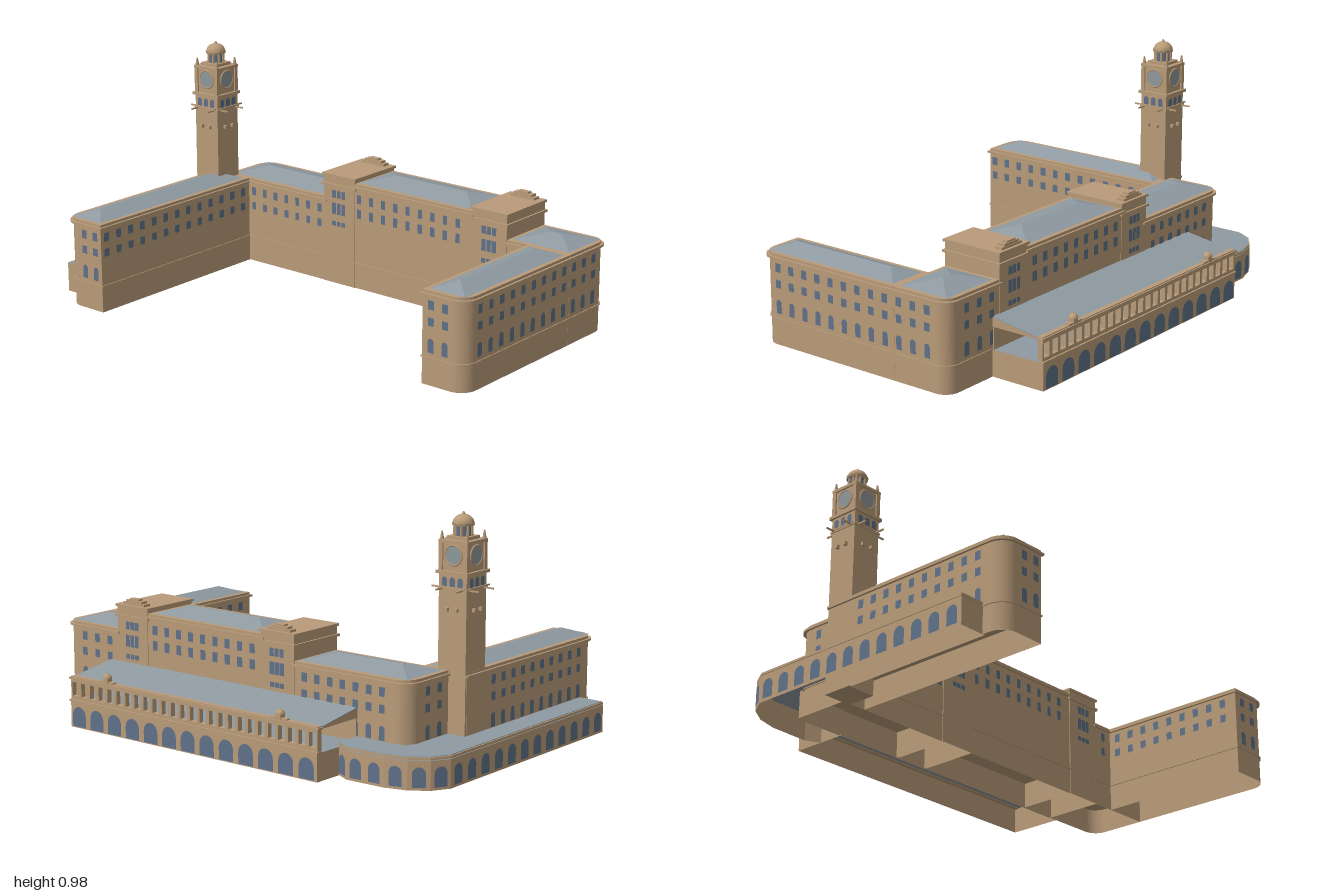
import * as THREE from 'three';
import { mergeGeometries } from 'three/addons/utils/BufferGeometryUtils.js';

const mat = (name, color) => new THREE.MeshStandardMaterial({ name, color, side: THREE.DoubleSide });

export function createModel() {
  const model = new THREE.Group();
  model.name = 'station';
  const wall = mat('sandstone', 0xb99b79);
  const roof = mat('slate', 0x8f9aa2);
  const glass = mat('glass', 0x5f7189);
  const clockFace = mat('clock face', 0x8d989b);

  const add = (name, geo, material, parent = model) => {
    const m = new THREE.Mesh(geo, material);
    m.name = name;
    parent.add(m);
    return m;
  };
  const box = (name, x0, x1, y0, y1, z0, z1, material = wall, parent = model) =>
    add(name, new THREE.BoxGeometry(x1 - x0, y1 - y0, z1 - z0)
      .translate((x0 + x1) / 2, (y0 + y1) / 2, (z0 + z1) / 2), material, parent);

  // Rectangular plan with corner radii [left-back, right-back, right-front, left-front]
  const plan = ([x0, x1, z0, z1], r = [0, 0, 0, 0], g = 0) => {
    const a = x0 - g, b = x1 + g, c = -z0 + g, d = -z1 - g; // shape y is -z
    const [lb, rb, rf, lf] = r.map(v => Math.max(v, 0.001));
    const s = new THREE.Shape();
    s.moveTo(a + lf, d).lineTo(b - rf, d);
    s.absarc(b - rf, d + rf, rf, -Math.PI / 2, 0);
    s.absarc(b - rb, c - rb, rb, 0, Math.PI / 2);
    s.absarc(a + lb, c - lb, lb, Math.PI / 2, Math.PI);
    s.absarc(a + lf, d + lf, lf, Math.PI, Math.PI * 1.5);
    return s;
  };
  const prism = (name, shape, y0, y1, material = wall) =>
    add(name, new THREE.ExtrudeGeometry(shape, { depth: y1 - y0, bevelEnabled: false, curveSegments: 6 })
      .rotateX(-Math.PI / 2).translate(0, y0, 0), material);
  // Walls with a ceiling and an open underside
  const shell = (name, shape, y1, ceiling = wall) => {
    const src = new THREE.ExtrudeGeometry(shape, { depth: y1, bevelEnabled: false, curveSegments: 6 })
      .rotateX(-Math.PI / 2);
    const half = src.groups[0].count / 2, total = src.attributes.position.count;
    const geo = new THREE.BufferGeometry();
    geo.setAttribute('position', new THREE.BufferAttribute(src.attributes.position.array.slice(half * 3), 3));
    geo.computeVertexNormals();
    geo.addGroup(0, half, 0);
    geo.addGroup(half, total - 2 * half, 1);
    add(name, geo, [ceiling, wall]);
  };

  // Hipped roof with its ridge along the longer side
  const hipRoof = ([x0, x1, z0, z1], y, h) => {
    const w = x1 - x0, d = z1 - z0, k = Math.min(w, d) / 2 - 0.002;
    const mx = (x0 + x1) / 2, mz = (z0 + z1) / 2;
    const alongX = w > d;
    const p = alongX ? [x0 + k, mz, x1 - k, mz] : [mx, z0 + k, mx, z1 - k];
    const geo = new THREE.BufferGeometry();
    geo.setAttribute('position', new THREE.Float32BufferAttribute([
      x0, y, z0, x1, y, z0, x1, y, z1, x0, y, z1, p[0], y + h, p[1], p[2], y + h, p[3]], 3));
    geo.setIndex(alongX
      ? [3, 2, 5, 3, 5, 4, 1, 0, 4, 1, 4, 5, 0, 3, 4, 2, 1, 5]
      : [0, 3, 5, 0, 5, 4, 2, 1, 4, 2, 4, 5, 1, 0, 4, 3, 2, 5]);
    const flat = geo.toNonIndexed();
    flat.computeVertexNormals();
    add('hippedRoof', flat, roof);
  };

  // Window plates spread evenly along a wall from a to b, rows are [y, height, arched]
  const panes = [];
  const row = (ax, az, bx, bz, n, rows, w = 0.027) => {
    const turn = Math.atan2(bz - az, ax - bx);
    for (let i = 0; i < n; i++) for (const [y, h, arched] of rows) {
      const t = (i + 0.5) / n, s = new THREE.Shape();
      s.moveTo(-w / 2, -h / 2).lineTo(w / 2, -h / 2);
      if (arched) s.absarc(0, h / 2 - w / 2, w / 2, 0, Math.PI);
      else s.lineTo(w / 2, h / 2).lineTo(-w / 2, h / 2);
      panes.push(new THREE.ShapeGeometry(s, 5).translate(0, 0, 0.003).rotateY(turn)
        .translate(ax + (bx - ax) * t, y, az + (bz - az) * t));
    }
  };

  // Main ranges: plan, corner radii, wall height
  const ranges = [
    ['leftRange', [-0.81, -0.25, -0.46, -0.2], [0.07, 0, 0, 0], 0.375],
    ['leftWing', [-0.89, -0.69, -0.2, 0.7], [0, 0, 0, 0.07], 0.375],
    ['centreRange', [-0.1, 0.52, -0.46, -0.2], [0, 0, 0, 0], 0.46],
    ['rightRange', [0.69, 0.99, -0.46, -0.2], [0, 0.06, 0, 0], 0.375],
    ['rightWing', [0.79, 0.99, -0.2, 0.48], [0, 0, 0.07, 0], 0.375],
  ];
  for (const [name, r, radii, top] of ranges) {
    shell(name + 'Base', plan(r, radii), 0.11);
    prism(name + 'Walls', plan(r, radii), 0.11, top);
    prism(name + 'Belt', plan(r, radii, 0.004), 0.108, 0.114);
    prism(name + 'Cornice', plan(r, radii, 0.009), top - 0.02, top - 0.011);
    const i = 0.018;
    hipRoof([r[0] + i, r[1] - i, r[2] + i, r[3] - i], top + 0.001, 0.029);
  }

  // Raised pavilions with crests
  for (const x of [-0.175, 0.605]) {
    const r = [x - 0.085, x + 0.085, -0.462, -0.197];
    shell('pavilionBase', plan(r), 0.11);
    prism('pavilionWalls', plan(r), 0.11, 0.475);
    prism('pavilionCornice', plan(r, undefined, 0.008), 0.43, 0.44);
    prism('pavilionCoping', plan(r, undefined, 0.006), 0.472, 0.482);
    box('crest', x - 0.06, x + 0.06, 0.482, 0.492, -0.455, -0.42);
    box('crestBlock', x - 0.045, x + 0.045, 0.492, 0.502, -0.453, -0.422);
    box('crestTop', x - 0.025, x + 0.025, 0.502, 0.509, -0.45, -0.425);
    const rows = [[0.397, 0.033], [0.333, 0.05], [0.267, 0.02]];
    row(x + 0.038, -0.197, x - 0.038, -0.197, 3, rows, 0.021);
    row(x - 0.038, -0.462, x + 0.038, -0.462, 3, rows, 0.021);
  }

  // Window rows of the ranges
  const two = [[0.32, 0.036], [0.254, 0.033]], arch = [0.16, 0.057, true], three = [...two, arch];
  const high = [[0.396, 0.038], [0.332, 0.04]];
  row(-0.254, -0.2, -0.69, -0.2, 7, two, 0.022);
  row(0.48, -0.2, -0.098, -0.2, 9, high, 0.022);
  row(0.77, -0.2, 0.71, -0.2, 1, two, 0.022);
  row(-0.69, 0.7, -0.814, 0.7, 2, three);
  row(0.93, 0.48, 0.8, 0.48, 2, three);
  row(0.99, -0.398, 0.99, 0.428, 12, three);
  row(-0.69, -0.19, -0.69, 0.705, 13, two);
  row(0.79, 0.45, 0.79, -0.19, 9, two);
  row(-0.89, 0.61, -0.89, -0.06, 10, three);
  row(-0.81, -0.23, -0.81, -0.38, 2, three);
  row(-0.72, -0.46, -0.28, -0.46, 7, three);
  row(-0.08, -0.46, 0.51, -0.46, 9, [...high, arch]);
  row(0.7, -0.46, 0.92, -0.46, 3, three);

  // Low side annex with a splayed corner
  const edge = [[-1, 0.6], [-1, -0.45], [-0.96, -0.52], [-0.89, -0.57], [-0.8, -0.595], [-0.63, -0.6], [-0.57, -0.57]];
  const inner = [[-0.57, -0.45], [-0.8, -0.45], [-0.8, -0.19], [-0.88, -0.19], [-0.88, 0.6]];
  const annex = () => new THREE.Shape([...edge, ...inner].map(([x, z]) => new THREE.Vector2(x, -z)));
  shell('annexWalls', annex(), 0.113, roof);
  prism('annexCoping', annex(), 0.115, 0.125);
  const top = prism('annexRoof', annex(), 0.1255, 0.128, roof);
  top.scale.set(0.995, 1, 0.995);
  for (let i = 0; i < 6; i++) {
    const [a, b] = [edge[i], edge[i + 1]];
    const n = Math.max(1, Math.round(Math.hypot(b[0] - a[0], b[1] - a[1]) / 0.085));
    row(...a, ...b, n, [[0.05, 0.078, true]], 0.052);
  }

  // Rear arcade with an open gallery above
  const L = -0.57, R = 0.73;
  shell('arcadeWalls', plan([L, R, -0.7, -0.455]), 0.11, roof);
  box('arcadeCornice', L - 0.004, R + 0.004, 0.107, 0.116, -0.704, -0.68);
  row(L, -0.7, R, -0.7, 13, [[0.047, 0.084, true]], 0.074);
  const gallery = new THREE.Shape([[L, 0.11], [R, 0.11], [R, 0.212], [L, 0.212]].map(p => new THREE.Vector2(...p)));
  for (let i = 0; i < 26; i++) {
    const x = L + 0.05 * (i + 0.5), h = new THREE.Path();
    h.moveTo(x - 0.017, 0.13).lineTo(x - 0.017, 0.188).lineTo(x + 0.017, 0.188).lineTo(x + 0.017, 0.13);
    gallery.holes.push(h);
  }
  add('gallery', new THREE.ExtrudeGeometry(gallery, { depth: 0.022, bevelEnabled: false }).translate(0, 0, -0.697), wall);
  box('galleryCoping', L - 0.006, R + 0.006, 0.2, 0.208, -0.703, -0.672);
  box('galleryRearWall', L, R, 0.11, 0.2, -0.468, -0.463);
  const slope = (name, pts, material) =>
    add(name, new THREE.ExtrudeGeometry(new THREE.Shape(pts.map(p => new THREE.Vector2(...p))),
      { depth: R - L, bevelEnabled: false }).rotateY(Math.PI / 2).translate(L, 0, 0), material);
  slope('galleryCeiling', [[0.455, 0.2], [0.678, 0.2], [0.678, 0.205], [0.455, 0.238]], wall);
  slope('galleryRoof', [[0.455, 0.238], [0.678, 0.205], [0.678, 0.208], [0.455, 0.242]], roof);
  for (const x of [-0.38, 0.53]) {
    box('finialPost', x - 0.013, x + 0.013, 0.2, 0.23, -0.7, -0.674);
    box('finialBase', x - 0.04, x + 0.04, 0.208, 0.217, -0.698, -0.676);
    add('finialDome', new THREE.SphereGeometry(0.019, 12, 6, 0, Math.PI * 2, 0, Math.PI / 2).translate(x, 0.23, -0.687), wall);
    add('finialTip', new THREE.ConeGeometry(0.004, 0.009, 6).translate(x, 0.25, -0.687), wall);
  }

  // Clock tower
  const tower = new THREE.Group();
  tower.name = 'clockTower';
  model.add(tower);
  const cx = -0.825, cz = -0.145;
  const block = (name, half, y0, y1) => box(name, -half, half, y0, y1, -half, half, wall, tower);
  tower.position.set(cx, 0, cz);
  block('shaft', 0.064, 0, 0.75);
  block('shaftBand', 0.068, 0.683, 0.692);
  block('belfryCornice', 0.073, 0.744, 0.756);
  block('clockStage', 0.06, 0.756, 0.865);
  block('clockCornice', 0.067, 0.862, 0.874);
  block('lanternBase', 0.045, 0.874, 0.886);
  for (let i = 0; i < 4; i++) {
    const side = new THREE.Group();
    side.name = 'towerSide';
    side.rotation.y = i * Math.PI / 2;
    tower.add(side);
    for (const s of [-1, 1]) {
      box('bracket', s * 0.022 - 0.006, s * 0.022 + 0.006, 0.603, 0.617, 0.06, 0.077, wall, side);
      box('spout', s * 0.047 - 0.003, s * 0.047 + 0.003, 0.685, 0.691, 0.06, 0.108, wall, side);
    }
    box('sill', -0.055, 0.055, 0.69, 0.697, 0.06, 0.07, wall, side);
    add('clockRim', new THREE.TorusGeometry(0.038, 0.004, 6, 24).translate(0, 0.817, 0.061), wall, side);
    add('clockFace', new THREE.CircleGeometry(0.038, 24).translate(0, 0.817, 0.0625), clockFace, side);
    box('cornerPier', 0.048, 0.066, 0.756, 0.868, 0.048, 0.066, wall, side);
    add('pinnacle', new THREE.CylinderGeometry(0.003, 0.009, 0.032, 6).translate(0.057, 0.889, 0.057), wall, side);
    // Belfry openings, listed by wall direction
    const a = i * Math.PI / 2, nx = Math.round(Math.sin(a)), nz = Math.round(Math.cos(a)), d = 0.064, e = 0.054;
    row(cx + nx * d + nz * e, cz + nz * d - nx * e, cx + nx * d - nz * e, cz + nz * d + nx * e, 3, [[0.716, 0.036, true]], 0.024);
  }
  // Lantern and dome
  add('lanternGlass', new THREE.CylinderGeometry(0.031, 0.031, 0.042, 16).translate(0, 0.906, 0), glass, tower);
  for (let i = 0; i < 8; i++) {
    const a = (i + 0.5) * Math.PI / 4;
    add('lanternColumn', new THREE.CylinderGeometry(0.006, 0.006, 0.042, 6)
      .translate(Math.sin(a) * 0.033, 0.906, Math.cos(a) * 0.033), wall, tower);
  }
  add('lanternCornice', new THREE.CylinderGeometry(0.044, 0.042, 0.009, 20).translate(0, 0.93, 0), wall, tower);
  add('dome', new THREE.SphereGeometry(0.041, 20, 8, 0, Math.PI * 2, 0, Math.PI / 2).scale(1, 0.85, 1).translate(0, 0.933, 0), wall, tower);
  add('domeFinial', new THREE.CylinderGeometry(0.003, 0.008, 0.012, 8).translate(0, 0.971, 0), wall, tower);

  add('windows', mergeGeometries(panes), glass);
  return model;
}
